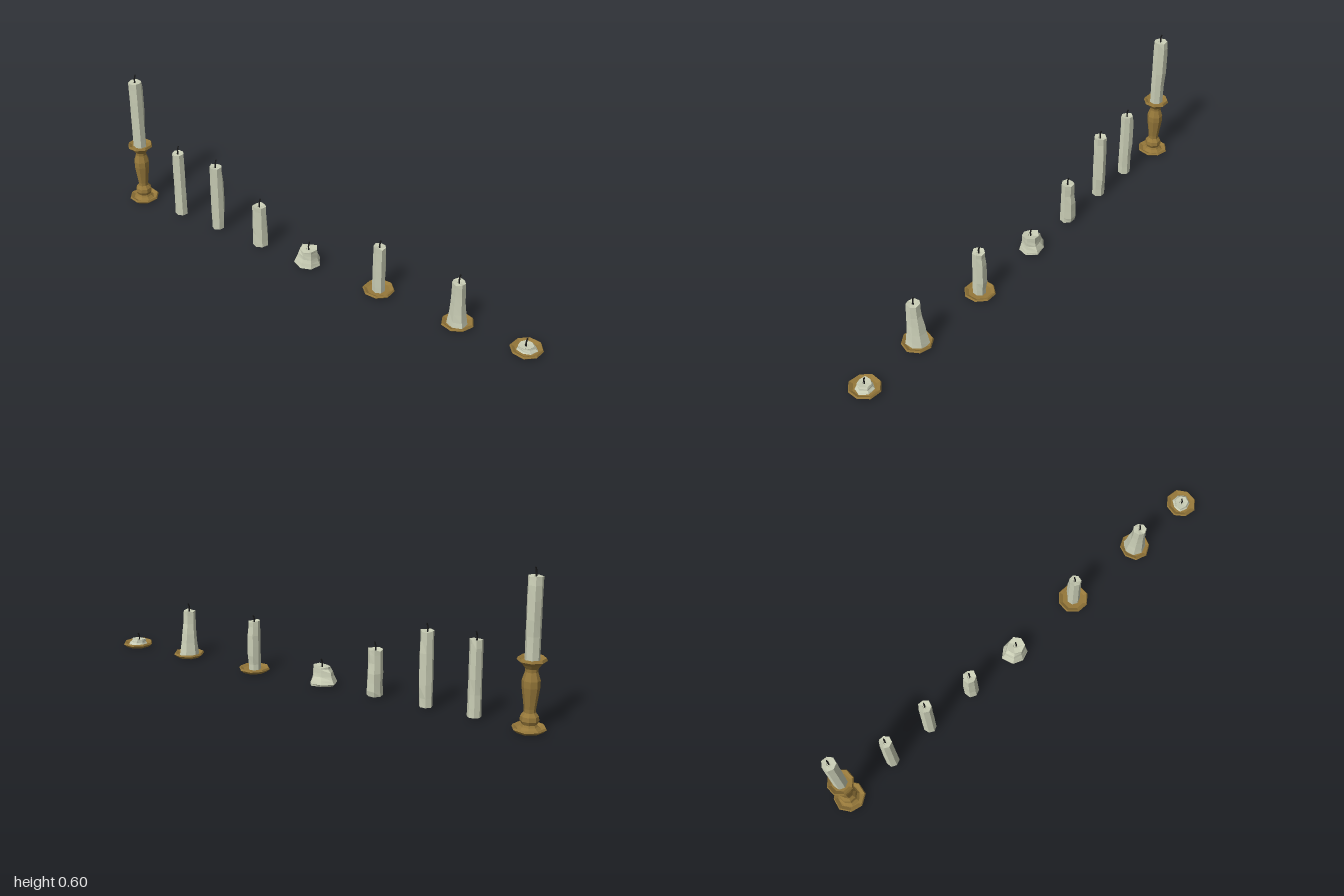
import * as THREE from 'three';

const mat = (color) => new THREE.MeshStandardMaterial({ color, flatShading: true });
const wax = mat(0xc9cdb5), brass = mat(0x96783a), char = mat(0x1a1a1a);

// repeatable noise in -1..1
const noise = (a, b) => {
  const s = Math.sin(a * 127.1 + b * 311.7) * 43758.5453;
  return (s - Math.floor(s)) * 2 - 1;
};

// faceted turned shape whose vertices can be moved by a rule
function turned(name, profile, sides, material, move) {
  const g = new THREE.LatheGeometry(profile.map(([r, y]) => new THREE.Vector2(r, y)), sides);
  const p = g.attributes.position, n = profile.length, v = new THREE.Vector3();
  if (move) for (let k = 0; k < p.count; k++) {
    const side = Math.floor(k / n) % sides, level = k % n;
    v.fromBufferAttribute(p, k);
    move(v, side, level, (side / sides) * Math.PI * 2);
    p.setXYZ(k, v.x, v.y, v.z);
  }
  g.computeVertexNormals();
  const m = new THREE.Mesh(g, material);
  m.name = name;
  return m;
}

// wax body with flared foot, wavy facets, runs of drips and a shallow well; plus the wick
function candle({ y0, y1, foot, top, seed, wick = 0.03, lean = [0, 0], drips = [], rough = 0.07 }) {
  const group = new THREE.Group();
  group.name = 'candle';
  const h = y1 - y0;
  const levels = [0, 0.12, 0.3, 0.5, 0.72, 0.9, 1];
  const profile = [[0, y0]];
  for (const t of levels) profile.push([top + (foot - top) * (1 - t) ** 2, y0 + h * t]);
  profile.push([top * 0.32, y1 - 0.002], [top * 0.25, y1 - 0.006], [0, y1 - 0.006]);
  const last = levels.length;
  group.add(turned('wax', profile, 7, wax, (v, side, level, phi) => {
    const t = (v.y - y0) / h;
    if (level > 0 && level <= last) {
      let s = 1 + rough * noise(side + 1, seed) + rough * 0.35 * noise(side + level * 9, seed + 3);
      for (const [a, lo, hi, d] of drips)
        if (t >= lo && t <= hi) s += d * Math.max(0, Math.cos(phi - a)) ** 4;
      v.x *= s;
      v.z *= s;
      if (level === last) v.y += Math.min(0.004, h * 0.08) * noise(side, seed + 7);
    }
    v.x += lean[0] * t;
    v.z += lean[1] * t;
  }));
  const [lx, lz] = lean;
  const curve = new THREE.CatmullRomCurve3([
    new THREE.Vector3(lx, y1 - 0.008, lz),
    new THREE.Vector3(lx, y1 + wick * 0.45, lz + 0.001),
    new THREE.Vector3(lx + 0.001, y1 + wick, lz - 0.004),
  ]);
  const w = new THREE.Mesh(new THREE.TubeGeometry(curve, 4, 0.0032, 5), char);
  w.name = 'wick';
  const tip = new THREE.Mesh(new THREE.SphereGeometry(0.0032, 5, 3), char);
  tip.name = 'wickTip';
  tip.position.copy(curve.getPoint(1));
  group.add(w, tip);
  return group;
}

// shallow eight-sided dish with a raised rim
function dish(turn) {
  const m = turned('dish', [[0, 0.003], [0.05, 0.004], [0.064, 0.016], [0.06, 0.023],
    [0.046, 0.015], [0, 0.013]], 8, brass, (v, side, level) => {
    v.multiply(new THREE.Vector3(1 + 0.03 * noise(side, turn), 1, 1 + 0.03 * noise(side, turn)));
  });
  m.rotation.y = turn;
  return m;
}

// turned stem with a knob, a belly and a drip pan
function candlestick() {
  const m = turned('candlestick', [[0.045, 0.013], [0.032, 0.024], [0.028, 0.032], [0.035, 0.046],
    [0.033, 0.062], [0.022, 0.076], [0.022, 0.09], [0.026, 0.12], [0.033, 0.17], [0.033, 0.195],
    [0.023, 0.226], [0.024, 0.238], [0.035, 0.253], [0.054, 0.268], [0.05, 0.278], [0.036, 0.268],
    [0, 0.267]], 8, brass);
  m.rotation.y = Math.PI / 8;
  return m;
}

export function createModel() {
  const root = new THREE.Group();
  root.name = 'candleRow';
  const B = Math.PI;
  const row = [
    { name: 'candlestickCandle', x: -0.938, z: -0.004, dish: 0.2, stick: true,
      c: { y0: 0.265, y1: 0.571, foot: 0.027, top: 0.027, seed: 2, drips: [[B, 0.45, 0.95, 0.25]] } },
    { name: 'tallCandleA', x: -0.717, z: 0.002,
      c: { y0: 0.012, y1: 0.305, foot: 0.028, top: 0.026, seed: 5, drips: [[B + 0.4, 0.45, 0.95, 0.2]] } },
    { name: 'tallCandleB', x: -0.515, z: 0,
      c: { y0: 0.012, y1: 0.305, foot: 0.026, top: 0.026, seed: 8, drips: [[B - 0.5, 0.25, 0.75, 0.25]] } },
    { name: 'shortCandle', x: -0.29, z: 0,
      c: { y0: 0.012, y1: 0.195, foot: 0.032, top: 0.027, seed: 11,
        drips: [[B, 0.1, 0.55, 0.25], [-1.4, 0.5, 1, 0.15]] } },
    { name: 'meltedCandle', x: -0.048, z: 0.002,
      c: { y0: 0.012, y1: 0.084, foot: 0.05, top: 0.034, seed: 14, lean: [0.006, 0], rough: 0.12,
        wick: 0.028, drips: [[-1.5, 0.1, 0.75, 0.35], [B, 0.1, 0.5, 0.2]] } },
    { name: 'dishCandleA', x: 0.29, z: -0.004, dish: 0.39,
      c: { y0: 0.013, y1: 0.217, foot: 0.027, top: 0.026, seed: 17, wick: 0.023,
        drips: [[B, 0.25, 0.75, 0.3]] } },
    { name: 'dishCandleB', x: 0.648, z: 0.002, dish: 0.1,
      c: { y0: 0.013, y1: 0.204, foot: 0.043, top: 0.027, seed: 20, lean: [0, 0.008],
        drips: [[B + 0.3, 0, 0.5, 0.2]] } },
    { name: 'dishStub', x: 0.936, z: -0.004, dish: 0.3,
      c: { y0: 0.013, y1: 0.035, foot: 0.04, top: 0.028, seed: 23, wick: 0.025, rough: 0.14,
        lean: [-0.003, 0.004] } },
  ];
  for (const item of row) {
    const g = new THREE.Group();
    g.name = item.name;
    g.position.set(item.x, 0, item.z);
    if (item.dish !== undefined) g.add(dish(item.dish));
    if (item.stick) g.add(candlestick());
    g.add(candle(item.c));
    root.add(g);
  }
  return root;
}
